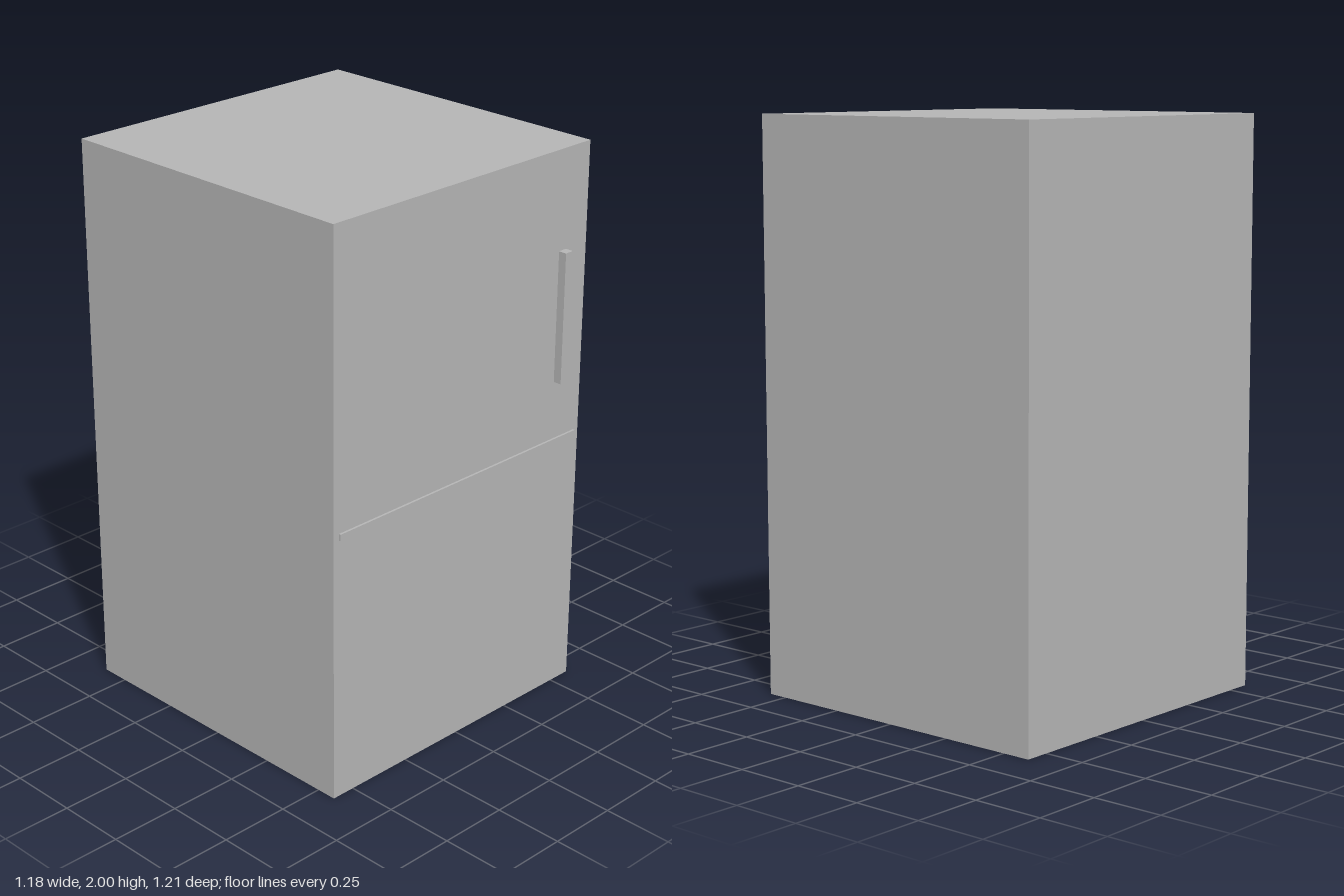
import * as THREE from 'three';

export function createModel() {
  const group = new THREE.Group();
  const grey = new THREE.MeshStandardMaterial({ color: 0xb6b6b6 });
  grey.name = 'grey';

  // Box given by its low and high corners
  const addBox = (name, [x0, y0, z0], [x1, y1, z1]) => {
    const mesh = new THREE.Mesh(new THREE.BoxGeometry(x1 - x0, y1 - y0, z1 - z0), grey);
    mesh.position.set((x0 + x1) / 2, (y0 + y1) / 2, (z0 + z1) / 2);
    mesh.name = name;
    group.add(mesh);
  };

  const front = 0.573;
  addBox('cabinet', [-0.588, 0, -0.603], [0.588, 2, front]);
  // Raised strip between the upper and lower doors
  addBox('doorDivider', [-0.565, 0.946, front - 0.01], [0.565, 0.969, 0.581]);
  // Upright door handle on the model's left
  addBox('doorHandle', [0.452, 1.18, front - 0.01], [0.486, 1.648, 0.603]);

  return group;
}
